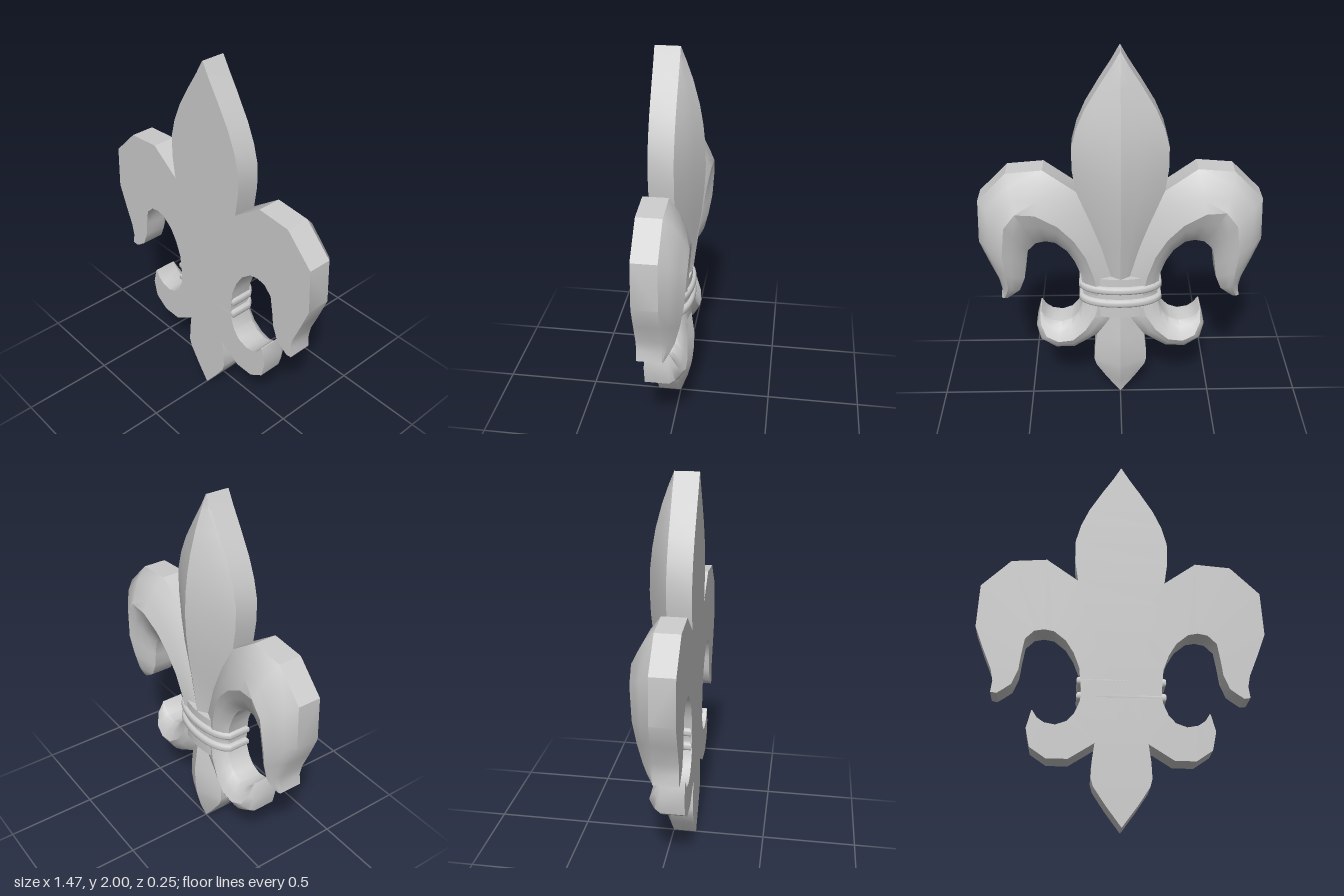
import * as THREE from 'three';
import { toCreasedNormals } from 'three/addons/utils/BufferGeometryUtils.js';

const FRONT = 0.125; // flat face; the carved relief rises towards -z
const material = new THREE.MeshStandardMaterial({ color: 0xcccccc });

// Loft of cross-sections. Each row: [leftX, leftY, rightX, rightY, ridgeX, ridgeY, ridgeZ].
// Left and right are relative to the direction of travel; round < 1 makes a fuller relief.
function relief(name, rows, round, side = 1) {
  const pos = [], index = [];
  const steps = [0, 0.3, 0.65, 1];
  for (const [ax, ay, bx, by, rx, ry, rz] of rows) {
    const put = (x, y, z) => pos.push(side * x, y, z);
    const slope = (ex, ey, t) =>
      put(ex + (rx - ex) * t, ey + (ry - ey) * t, rz * Math.pow(t, round));
    put(ax, ay, FRONT);
    for (const t of steps) slope(ax, ay, t);
    for (const t of [...steps].reverse().slice(1)) slope(bx, by, t);
    put(bx, by, FRONT);
  }
  const n = pos.length / 3 / rows.length;
  const tri = (a, b, c) => (side > 0 ? index.push(a, b, c) : index.push(a, c, b));
  for (let i = 0; i < rows.length - 1; i++) {
    for (let j = 0; j < n; j++) {
      const a = i * n + j, b = i * n + (j + 1) % n;
      tri(a, a + n, b + n);
      tri(a, b + n, b);
    }
  }
  const end = (rows.length - 1) * n;
  for (let j = 1; j < n - 1; j++) {
    tri(0, j, j + 1);
    tri(end, end + j + 1, end + j);
  }
  const geometry = new THREE.BufferGeometry();
  geometry.setAttribute('position', new THREE.Float32BufferAttribute(pos, 3));
  geometry.setIndex(index);
  return finish(name, geometry);
}

function finish(name, geometry) {
  const mesh = new THREE.Mesh(toCreasedNormals(geometry, 0.65), material);
  mesh.name = name;
  return mesh;
}

// Upright leaf from [y, halfWidth, ridgeZ]
const leaf = (name, list) =>
  relief(name, list.map(([y, w, z]) => [-w, y, w, y, 0, y, z]), 0.88);

// Slab with a flat front and a bowed back, seen from above
function bowedSlab(name, y0, y1, halfWidth, depth, bevel) {
  const w = halfWidth - bevel, d = depth - bevel, f = FRONT - bevel;
  const shape = new THREE.Shape();
  shape.moveTo(-w, -f);
  shape.lineTo(w, -f);
  shape.lineTo(w, -0.01);
  shape.bezierCurveTo(w * 0.85, d * 0.7, w * 0.4, d, 0, d);
  shape.bezierCurveTo(-w * 0.4, d, -w * 0.85, d * 0.7, -w, -0.01);
  shape.closePath();
  const geometry = new THREE.ExtrudeGeometry(shape, {
    depth: y1 - y0 - 2 * bevel, curveSegments: 8,
    bevelEnabled: bevel > 0, bevelSize: bevel, bevelThickness: bevel, bevelSegments: 3,
  });
  geometry.rotateX(-Math.PI / 2);
  geometry.translate(0, y0 + bevel, 0);
  return finish(name, geometry);
}

export function createModel() {
  const group = new THREE.Group();
  group.name = 'fleurOrnament';

  group.add(leaf('centrePetal', [
    [0.66, 0.06, -0.05], [0.8, 0.08, -0.06], [1.0, 0.15, -0.085], [1.15, 0.2, -0.107],
    [1.28, 0.226, -0.12], [1.4, 0.243, -0.125], [1.52, 0.243, -0.121], [1.62, 0.216, -0.11],
    [1.72, 0.172, -0.092], [1.84, 0.1, -0.06], [1.93, 0.042, -0.028], [2.0, 0.002, 0],
  ]));

  group.add(leaf('lowerPetal', [
    [0, 0.002, 0], [0.1, 0.076, -0.038], [0.19, 0.135, -0.06], [0.23, 0.146, -0.066],
    [0.31, 0.142, -0.074], [0.4, 0.13, -0.075], [0.52, 0.1, -0.06], [0.66, 0.08, -0.05],
  ]));

  // Drooping petals and small curls, mirrored
  const petal = [
    [0.0, 0.68, 0.2, 0.68, 0.12, 0.68, -0.045],
    [0.02, 0.8, 0.21, 0.79, 0.14, 0.8, -0.058],
    [0.08, 1.0, 0.24, 0.87, 0.18, 0.93, -0.072],
    [0.15, 1.16, 0.28, 0.935, 0.24, 1.04, -0.085],
    [0.225, 1.28, 0.34, 0.985, 0.32, 1.13, -0.096],
    [0.39, 1.4, 0.39, 0.995, 0.43, 1.2, -0.108],
    [0.575, 1.385, 0.44, 0.985, 0.53, 1.21, -0.115],
    [0.725, 1.235, 0.485, 0.94, 0.59, 1.13, -0.112],
    [0.735, 1.0, 0.5, 0.85, 0.61, 0.96, -0.1],
    [0.69, 0.88, 0.51, 0.77, 0.6, 0.84, -0.08],
    [0.645, 0.77, 0.54, 0.695, 0.595, 0.74, -0.055],
    [0.633, 0.71, 0.58, 0.665, 0.608, 0.69, -0.032],
    [0.64, 0.65, 0.61, 0.645, 0.625, 0.648, -0.005],
  ];
  const curl = [
    [0.2, 0.64, 0.0, 0.6, 0.12, 0.62, -0.05],
    [0.205, 0.61, 0.03, 0.5, 0.14, 0.55, -0.055],
    [0.23, 0.55, 0.13, 0.4, 0.19, 0.47, -0.063],
    [0.265, 0.51, 0.255, 0.32, 0.26, 0.41, -0.072],
    [0.32, 0.49, 0.36, 0.32, 0.34, 0.4, -0.073],
    [0.375, 0.5, 0.44, 0.375, 0.405, 0.43, -0.062],
    [0.41, 0.525, 0.46, 0.47, 0.435, 0.495, -0.035],
    [0.432, 0.56, 0.437, 0.56, 0.435, 0.56, 0],
  ];
  for (const [label, side] of [['left', 1], ['right', -1]]) {
    group.add(relief(label + 'Petal', petal, 0.7, side));
    group.add(relief(label + 'Curl', curl, 0.6, side));
  }

  // Waist and the two bands tied around it
  group.add(bowedSlab('waist', 0.55, 0.79, 0.2, 0.06, 0));
  group.add(bowedSlab('upperBand', 0.7, 0.745, 0.222, 0.08, 0.016));
  group.add(bowedSlab('lowerBand', 0.62, 0.665, 0.222, 0.08, 0.016));
  return group;
}
